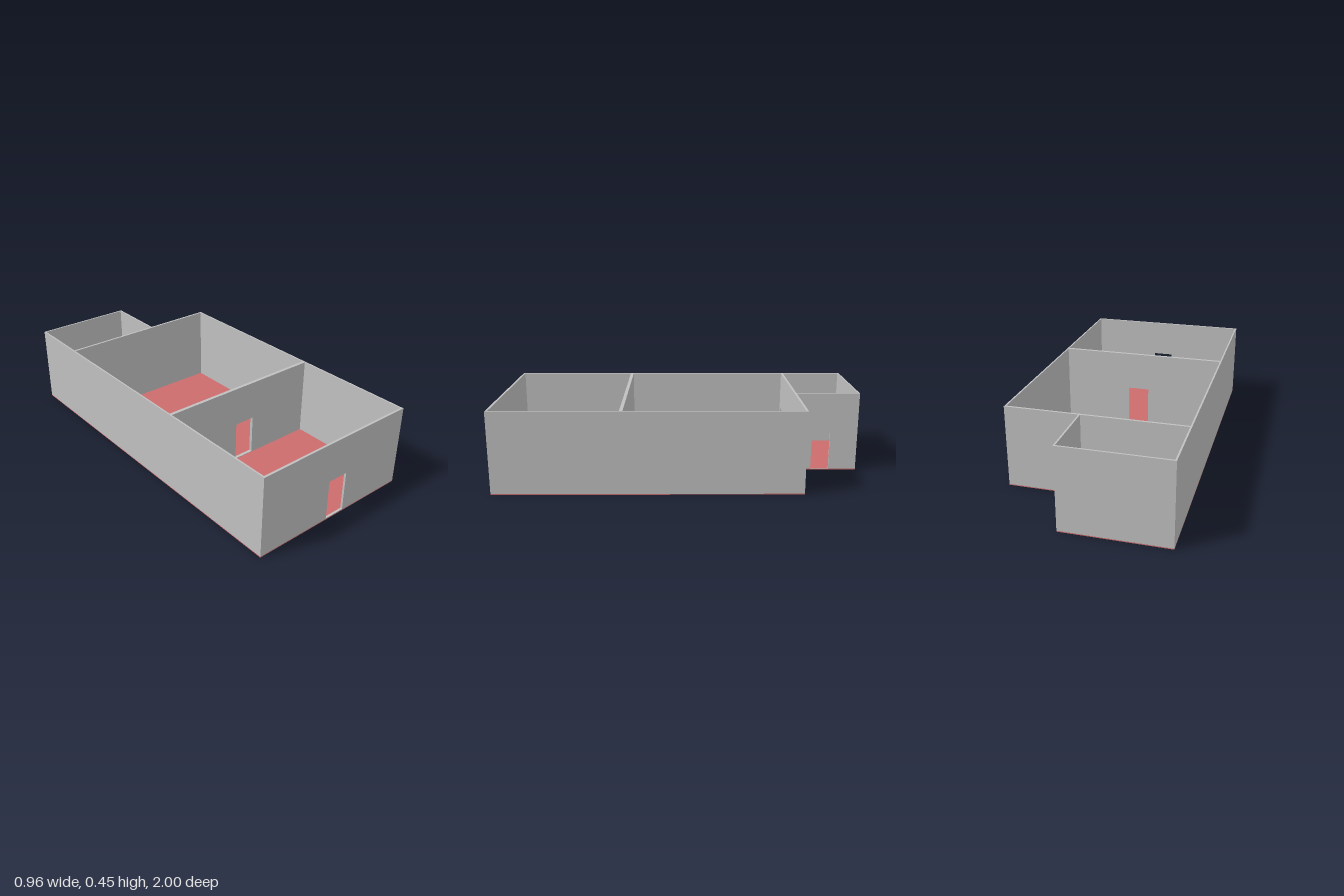
import * as THREE from 'three';

const BASE = 0.005; // floor slab thickness
const TOP = 0.45;   // wall height
const T = 0.009;    // outer wall thickness
const W = 0.48;     // half width
const ANNEX_X = 0.085, ANNEX_Z = -0.645;

export function createModel() {
  const model = new THREE.Group();
  const wallMat = new THREE.MeshStandardMaterial({ color: 0xc0c0c0 });
  wallMat.name = 'wallGrey';
  const floorMat = new THREE.MeshStandardMaterial({ color: 0xcb6c6d });
  floorMat.name = 'floorRed';

  // Upright panel from a to b, with an optional doorway [from, to, bottom, top]
  function panel(name, a, b, thickness, door) {
    const shape = new THREE.Shape([
      new THREE.Vector2(a, BASE), new THREE.Vector2(b, BASE),
      new THREE.Vector2(b, TOP), new THREE.Vector2(a, TOP)]);
    if (door) {
      const [p, q, low, high] = door;
      shape.holes.push(new THREE.Path([
        new THREE.Vector2(p, low), new THREE.Vector2(p, high),
        new THREE.Vector2(q, high), new THREE.Vector2(q, low)]));
    }
    const geometry = new THREE.ExtrudeGeometry(shape, { depth: thickness, bevelEnabled: false });
    const mesh = new THREE.Mesh(geometry, wallMat);
    mesh.name = name;
    model.add(mesh);
    return mesh;
  }

  // Wall running along x, its back face at z
  function wallX(name, x0, x1, z, thickness, door) {
    panel(name, x0, x1, thickness, door).position.z = z;
  }

  // Wall running along z, its +x face at x
  function wallZ(name, z0, z1, x, door) {
    const mesh = panel(name, z0, z1, T, door);
    mesh.geometry.rotateY(-Math.PI / 2);
    mesh.position.x = x;
  }

  // L-shaped floor slab
  const outline = [[-W, -1], [W, -1], [W, -ANNEX_Z], [ANNEX_X, -ANNEX_Z], [ANNEX_X, 1], [-W, 1]];
  const floorShape = new THREE.Shape(outline.map(([x, y]) => new THREE.Vector2(x, y)));
  const floorGeometry = new THREE.ExtrudeGeometry(floorShape, { depth: BASE, bevelEnabled: false });
  floorGeometry.rotateX(-Math.PI / 2);
  const floor = new THREE.Mesh(floorGeometry, floorMat);
  floor.name = 'floor';
  model.add(floor);

  // Long side walls
  wallZ('rightSideWall', -1, 1, -W + T);
  wallZ('leftSideWall', ANNEX_Z, 1, W);

  // Cross walls between the side walls
  const inner = W - T;
  const middleDoor = [-0.04, 0.08, 0.008, 0.23];
  wallX('frontWall', -inner, inner, 0.988, 0.012, middleDoor);
  wallX('middlePartition', -inner, inner, 0.301, 0.018, middleDoor);
  wallX('rearPartition', -inner, inner, ANNEX_Z, 0.012, [-0.45, -0.335, 0.008, 0.23]);

  // Annex at the back
  wallX('annexBackWall', -inner, ANNEX_X - T, -1, T);
  wallZ('annexSideWall', -1, ANNEX_Z, ANNEX_X, [-0.845, -0.742, 0.006, 0.226]);

  return model;
}
